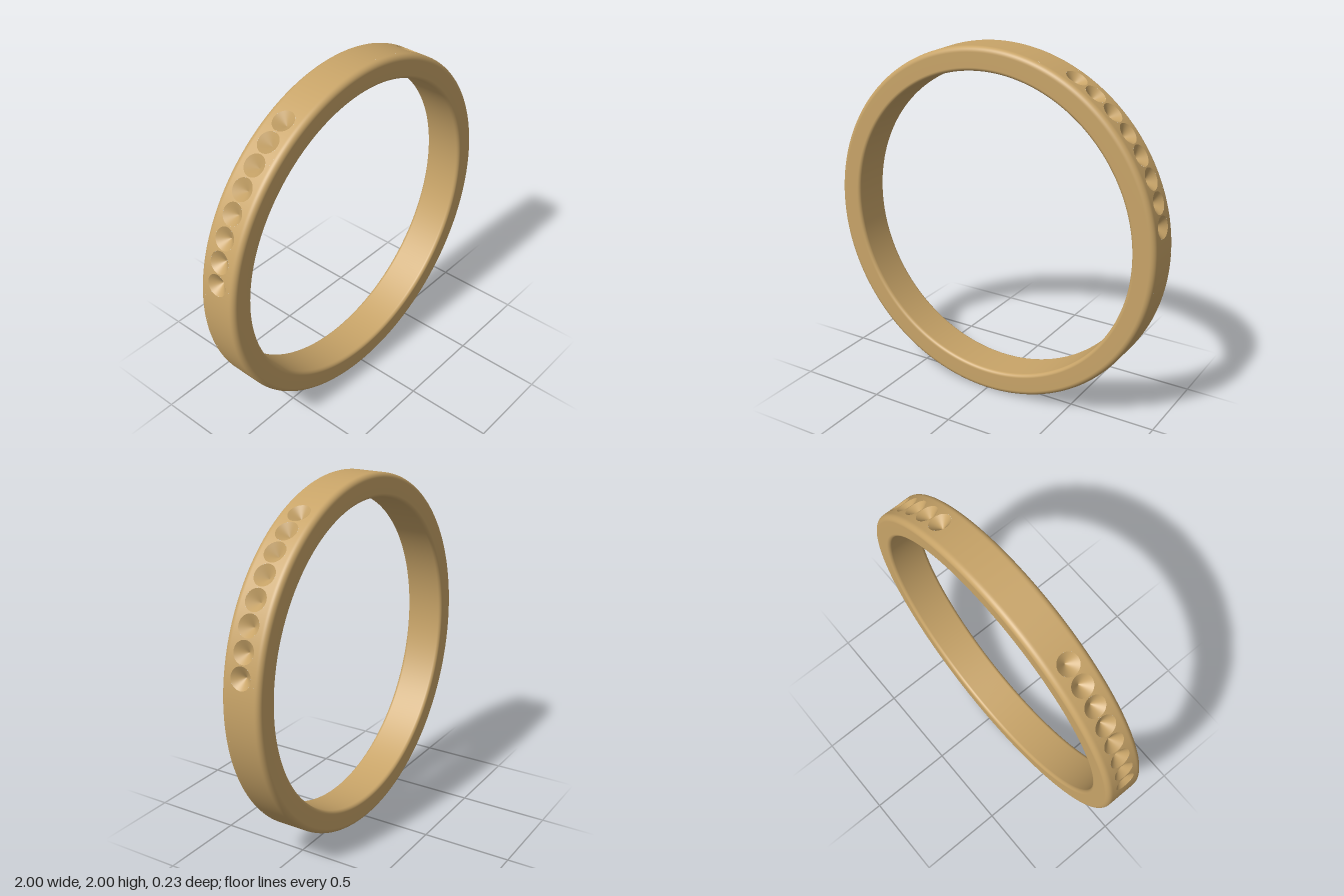
import * as THREE from 'three';
import { mergeGeometries } from 'three/addons/utils/BufferGeometryUtils.js';

const R = 1, INNER = 0.87, HALF = 0.115;      // ring radii and half width
const BAND = 0.08;                            // half width of the flat outer band
const STEP = THREE.MathUtils.degToRad(7.3);   // angle between stone seats
const MID = THREE.MathUtils.degToRad(36);     // middle of each row of seats
const SEATS = 8, SEAT_R = 0.06, SEAT_DEPTH = 0.05;

// Wraps flat geometry (x along the rim, y across, z outwards) round the ring
function bend(geometry, centre) {
  const p = geometry.attributes.position, n = geometry.attributes.normal;
  for (let i = 0; i < p.count; i++) {
    const a = centre + p.getX(i) / R, r = R + p.getZ(i);
    const c = Math.cos(a), s = Math.sin(a);
    const nx = n.getX(i), ny = n.getY(i), nz = n.getZ(i);
    p.setXYZ(i, r * c, r * s, p.getY(i));
    n.setXYZ(i, nz * c - nx * s, nz * s + nx * c, ny);
  }
  return geometry;
}

// Sides, rounded edges and bore of the ring
function bodyGeometry() {
  const pts = [new THREE.Vector2(R, BAND)];
  const corner = (r, y, radius, start) => {
    for (let i = 0; i <= 8; i++) {
      const a = start + (i / 8) * Math.PI / 2;
      pts.push(new THREE.Vector2(r + radius * Math.cos(a), y + radius * Math.sin(a)));
    }
  };
  const fo = 0.03, fi = 0.02;
  corner(R - fo, HALF - fo, fo, 0);
  corner(INNER + fi, HALF - fi, fi, Math.PI / 2);
  corner(INNER + fi, -HALF + fi, fi, Math.PI);
  corner(R - fo, -HALF + fo, fo, Math.PI * 1.5);
  pts.push(new THREE.Vector2(R, -BAND));
  return new THREE.LatheGeometry(pts, 360).rotateX(Math.PI / 2);
}

// Piece of the outer band with a round opening
function seatSurround(angle) {
  const w = STEP * R / 2, n = 8, pts = [];
  for (let i = 0; i <= n; i++) pts.push(new THREE.Vector2(-w + 2 * w * i / n, -BAND));
  for (let i = n; i >= 0; i--) pts.push(new THREE.Vector2(-w + 2 * w * i / n, BAND));
  const shape = new THREE.Shape(pts);
  shape.holes.push(new THREE.Path().absarc(0, 0, SEAT_R, 0, Math.PI * 2, true));
  return bend(new THREE.ShapeGeometry(shape, 48), angle);
}

// Conical hollow below the opening
function seatHollow(angle) {
  const pts = [];
  for (let i = 0; i <= 4; i++) {
    pts.push(new THREE.Vector2(SEAT_R * (1 - i / 4), -SEAT_DEPTH * i / 4));
  }
  return bend(new THREE.LatheGeometry(pts, 48).rotateX(Math.PI / 2), angle);
}

// Plain stretch of the outer band between two angles
function plainBand(from, to) {
  const g = new THREE.PlaneGeometry((to - from) * R, BAND * 2, 150, 1);
  return bend(g, (from + to) / 2);
}

export function createModel() {
  const model = new THREE.Group();
  model.name = 'ring';
  const gold = new THREE.MeshStandardMaterial({ color: 0xc8a468 });
  const add = (name, geometry) => {
    const mesh = new THREE.Mesh(geometry, gold);
    mesh.name = name;
    mesh.position.y = R;
    model.add(mesh);
  };

  add('ringBody', bodyGeometry());

  // Plain band over the top and round the bottom
  const low = MID - STEP * SEATS / 2, high = MID + STEP * SEATS / 2;
  add('outerBand', mergeGeometries([
    plainBand(high, Math.PI - high),
    plainBand(Math.PI - low, Math.PI * 2 + low),
  ]));

  // A row of stone seats on each shoulder
  for (const side of ['left', 'right']) {
    const surrounds = [], hollows = [];
    for (let i = 0; i < SEATS; i++) {
      const a = low + STEP * (i + 0.5);
      const angle = side === 'left' ? a : Math.PI - a;
      surrounds.push(seatSurround(angle));
      hollows.push(seatHollow(angle));
    }
    add(side + 'SeatBand', mergeGeometries(surrounds));
    add(side + 'StoneSeats', mergeGeometries(hollows));
  }
  return model;
}
